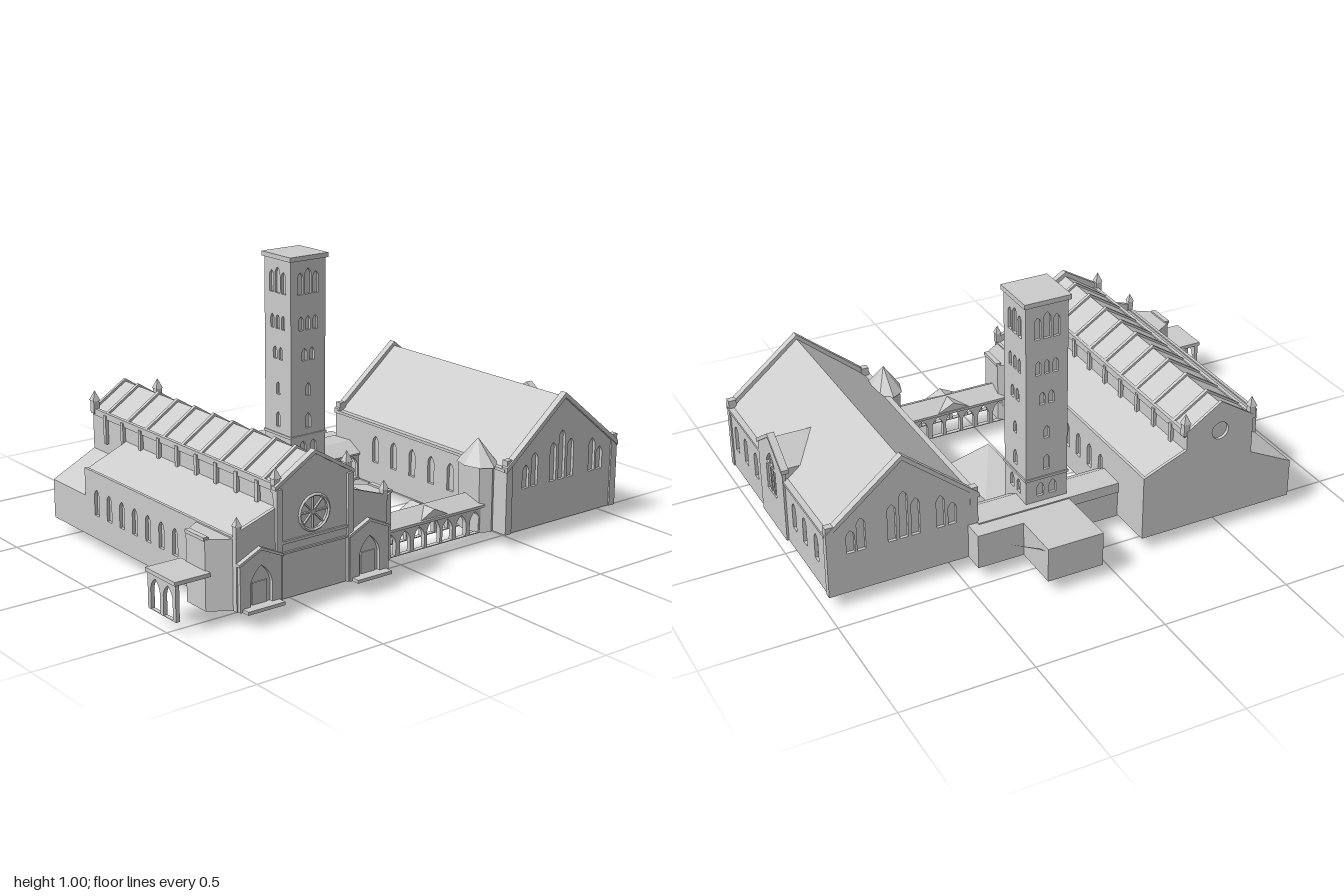
import * as THREE from 'three';

const mat = new THREE.MeshStandardMaterial({ color: 0xcccccc, flatShading: true });
const thin = new THREE.MeshStandardMaterial({ color: 0xcccccc, flatShading: true, side: THREE.DoubleSide });
const G = 0.05; // ground level of the buildings
const FRONT = 0, LEFT = Math.PI / 2, BACK = Math.PI, RIGHT = -Math.PI / 2;

export function createModel() {
  const root = new THREE.Group();

  const add = (name, geo, x = 0, y = 0, z = 0, m = mat) => {
    const mesh = new THREE.Mesh(geo, m);
    mesh.name = name;
    mesh.position.set(x, y, z);
    root.add(mesh);
    return mesh;
  };
  const box = (name, x0, x1, y0, y1, z0, z1) =>
    add(name, new THREE.BoxGeometry(x1 - x0, y1 - y0, z1 - z0), (x0 + x1) / 2, (y0 + y1) / 2, (z0 + z1) / 2);

  // Pointed arch opening: centre, width, sill, apex
  const arch = (x, w, y0, y1) => {
    const p = new THREE.Path(), s = y1 - w * 0.75, h = w / 2;
    p.moveTo(x - h, y0);
    p.lineTo(x + h, y0);
    p.lineTo(x + h, s);
    p.quadraticCurveTo(x + h * 0.85, s + w * 0.45, x, y1);
    p.quadraticCurveTo(x - h * 0.85, s + w * 0.45, x - h, s);
    p.closePath();
    return p;
  };
  const round = (x, y, r) => new THREE.Path().absarc(x, y, r, 0, Math.PI * 2, true);

  // Outline pushed outwards along a facing, from a distance off the origin
  const slab = (name, pts, holes, yaw, from, depth) => {
    const shape = new THREE.Shape(pts.map(p => new THREE.Vector2(...p)));
    shape.holes = holes;
    const geo = new THREE.ExtrudeGeometry(shape, { depth, bevelEnabled: false, curveSegments: 8 });
    const mesh = add(name, geo, Math.sin(yaw) * from, 0, Math.cos(yaw) * from);
    mesh.rotation.y = yaw;
    return mesh;
  };
  const rect = (x0, x1, y0, y1) => [[x0, y0], [x1, y0], [x1, y1], [x0, y1]];
  const gable = (x0, x1, eave, ridge, y0 = G) =>
    [[x0, y0], [x1, y0], [x1, eave], [(x0 + x1) / 2, ridge], [x0, eave]];
  // Thin bar following a polyline, used for copings
  const coping = (name, pts, t, yaw, from, depth) =>
    slab(name, [...pts, ...pts.slice().reverse().map(([x, y]) => [x, y - t])].reverse(), [], yaw, from, depth);
  const pinnacle = (x, y, z, s) => {
    box('pinnacleShaft', x - s, x + s, y - s * 4, y, z - s, z + s);
    const cone = add('pinnacleSpire', new THREE.ConeGeometry(s * 1.8, s * 3.2, 4), x, y + s * 1.6, z);
    cone.rotation.y = Math.PI / 4;
  };

  // ---- Church: nave, aisles and rear lean-to
  const cx = -0.47;
  slab('nave', gable(-0.61, -0.33, 0.44, 0.53), [], FRONT, -0.568, 1.156);
  slab('aisleLeft', [[-0.33, G], [-0.167, G], [-0.167, 0.3], [-0.33, 0.37]], [], FRONT, -0.568, 1.156);
  slab('aisleRight', [[-0.778, G], [-0.61, G], [-0.61, 0.37], [-0.778, 0.3]], [], FRONT, -0.35, 0.938);
  slab('rearLeanTo', [[-0.79, G], [-0.61, G], [-0.61, 0.29], [-0.79, 0.2]], [], FRONT, -0.58, 0.23);

  const aisleWindows = k => Array.from({ length: 8 }, (_, i) => arch(k * (-0.27 + i * 0.085), 0.032, 0.14, 0.24));
  slab('aisleWallRight', rect(-0.35, 0.59, G, 0.305), aisleWindows(1), RIGHT, 0.778, 0.012);
  slab('aisleWallLeft', rect(-0.59, 0.57, G, 0.305), aisleWindows(-1), LEFT, -0.167, 0.012);
  for (const s of [-1, 1]) {
    const x = cx + s * 0.14;
    box('naveParapet', x - 0.007, x + 0.007, 0.425, 0.45, -0.57, 0.59);
    for (let i = 0; i < 9; i++) { // clerestory buttresses
      const z = -0.48 + i * 0.12;
      box('naveButtress', x - 0.012, x + 0.012, 0.33, 0.44, z - 0.008, z + 0.008);
    }
    pinnacle(cx + s * 0.15, 0.475, 0.585, 0.012);
    pinnacle(cx + s * 0.14, 0.48, -0.565, 0.012);
    pinnacle(cx + s * 0.31, 0.345, 0.59, 0.01);
  }
  for (const z of [0.5, 0.385, 0.255, 0.135, 0.02, -0.1, -0.215, -0.34, -0.48])
    coping('roofRib', [[-0.615, 0.446], [cx, 0.54], [-0.325, 0.446]], 0.02, FRONT, z - 0.007, 0.014);

  // Church west front with rose window and two gabled portals
  slab('facade', [[-0.79, G], [-0.155, G], [-0.155, 0.325], [-0.31, 0.378], [-0.31, 0.45], [cx, 0.545],
    [-0.63, 0.45], [-0.63, 0.378], [-0.79, 0.325]], [round(cx, 0.33, 0.06)], FRONT, 0.585, 0.015);
  coping('facadeCoping', [[-0.635, 0.452], [cx, 0.55], [-0.305, 0.452]], 0.014, FRONT, 0.583, 0.025);
  add('roseRim', new THREE.TorusGeometry(0.062, 0.006, 4, 16), cx, 0.33, 0.601);
  for (let i = 0; i < 4; i++)
    add('roseSpoke', new THREE.BoxGeometry(0.12, 0.005, 0.008), cx, 0.33, 0.592).rotation.z = i * Math.PI / 4;
  box('facadeCourse', -0.62, -0.32, 0.21, 0.217, 0.6, 0.607);
  box('facadeCourse', -0.62, -0.32, 0.246, 0.256, 0.6, 0.607);
  for (const s of [-1, 1]) {
    const x = cx + s * 0.23;
    slab('portal', gable(x - 0.085, x + 0.085, 0.215, 0.255), [arch(x, 0.09, G + 0.002, 0.2)], FRONT, 0.6, 0.014);
    coping('portalCoping', [[x - 0.09, 0.22], [x, 0.262], [x + 0.09, 0.22]], 0.01, FRONT, 0.6, 0.018);
    box('door', x - 0.03, x + 0.03, G, 0.14, 0.6, 0.604);
    box('portalStep', x - 0.075, x + 0.075, G, 0.062, 0.6, 0.645);
    box('facadePier', cx + s * 0.15 - 0.012, cx + s * 0.15 + 0.012, G, 0.44, 0.595, 0.61);

    // Canted bays beside the front
    const inner = s * 0.3, outer = s * 0.395;
    const bay = new THREE.Shape([[inner, -0.58], [s * 0.32, -0.58], [outer, -0.53], [outer, -0.42],
      [s * 0.32, -0.37], [inner, -0.37]].map(p => new THREE.Vector2(...p)));
    const m = add('cantedBay', new THREE.ExtrudeGeometry(bay, { depth: 0.25, bevelEnabled: false }), cx, G, 0);
    m.rotation.x = -Math.PI / 2;
    const bx = cx + s * 0.39;
    box('bayCornice', bx - 0.01, bx + 0.01, 0.295, 0.307, 0.42, 0.53);
  }

  // Church rear gable
  slab('rearGable', [[-0.61, G], [-0.155, G], [-0.155, 0.305], [-0.33, 0.375], [-0.33, 0.45], [cx, 0.54], [-0.61, 0.45]]
    .map(([x, y]) => [-x, y]).reverse(), [round(-cx, 0.42, 0.035)], BACK, 0.568, 0.012);

  // Side porch
  box('porchRoof', -1, -0.86, 0.178, 0.192, 0.38, 0.555);
  slab('porchArcade', rect(0.385, 0.55, G, 0.18), [0.43, 0.505].map(z => arch(z, 0.055, G + 0.002, 0.165)), RIGHT, 0.98, 0.015);

  // ---- Hall with gable ends and side gable
  const hx = 0.695;
  slab('hallBody', gable(0.422, 0.968, 0.3, 0.53), [], FRONT, -0.378, 0.966);
  const frontLights = [[-0.185, 0.3], [-0.14, 0.34], [-0.045, 0.36], [0, 0.4], [0.045, 0.36], [0.16, 0.34], [0.2, 0.3]];
  slab('hallFrontGable', gable(0.41, 0.98, 0.31, 0.54),
    frontLights.map(([x, top]) => arch(hx + x, 0.032, 0.21, top)), FRONT, 0.588, 0.012);
  slab('hallBackGable', gable(-0.98, -0.41, 0.31, 0.54),
    frontLights.map(([x, top]) => arch(-hx - x, 0.032, 0.21, top)), BACK, 0.378, 0.012);
  for (const [yaw, from, k] of [[FRONT, 0.585, 1], [BACK, 0.367, -1]])
    coping('hallCoping', [[hx - 0.29, 0.31], [hx, 0.547], [hx + 0.29, 0.31]].map(([x, y]) => [k * x, y])
      .sort((a, b) => a[0] - b[0]), 0.02, yaw, from, 0.027);
  slab('hallWallLeft', rect(-0.59, 0.38, G, 0.3),
    [0.53, 0.43, 0.32, -0.07, -0.17, -0.28].map(z => arch(-z, 0.035, 0.14, 0.25)), LEFT, 0.968, 0.012);
  slab('hallWallRight', rect(-0.38, 0.59, G, 0.3),
    [0.3, 0.19, 0.08, -0.03, -0.14].map(z => arch(z, 0.035, 0.14, 0.25)), RIGHT, -0.422, 0.012);
  box('hallEave', 0.955, 0.987, 0.292, 0.303, -0.38, 0.6);
  box('hallEave', 0.403, 0.435, 0.292, 0.303, -0.38, 0.6);
  for (const x of [0.425, 0.97]) for (const z of [-0.378, 0.593])
    box('hallCornerPier', x - 0.015, x + 0.015, G, 0.335, z - 0.013, z + 0.013);
  slab('sideGableBody', gable(-0.235, -0.015, 0.345, 0.42), [], LEFT, 0.75, 0.226);
  slab('sideGableFace', gable(-0.25, -0.005, 0.345, 0.43), [arch(-0.128, 0.09, 0.185, 0.355)], LEFT, 0.976, 0.012);
  coping('sideGableCoping', [[-0.257, 0.35], [-0.128, 0.438], [0.002, 0.35]], 0.016, LEFT, 0.965, 0.028);
  for (const z of [0.113, 0.143]) box('sideGableMullion', 0.974, 0.984, 0.185, 0.32, z - 0.004, z + 0.004);

  // Octagonal stair turret
  add('turret', new THREE.CylinderGeometry(0.06, 0.06, 0.25, 8), 0.395, G + 0.125, 0.465).scale.z = 1.35;
  add('turretRoof', new THREE.ConeGeometry(0.066, 0.095, 8), 0.395, 0.347, 0.465).scale.z = 1.38;

  // ---- Front cloister walk
  const cloisterArches = () => Array.from({ length: 7 }, (_, i) =>
    i === 3 ? arch(0.13, 0.062, G + 0.003, 0.155) : arch(0.13 + (i - 3) * 0.067, 0.048, G + 0.003, 0.138));
  const cloisterWall = [[-0.11, G], [0.37, G], [0.37, 0.155], [0.2, 0.155], [0.13, 0.188], [0.06, 0.155], [-0.11, 0.155]];
  slab('cloisterFront', cloisterWall, cloisterArches(), FRONT, 0.508, 0.018);
  slab('cloisterBack', cloisterWall, cloisterArches(), FRONT, 0.408, 0.018);
  slab('cloisterRoof', gable(-0.535, -0.398, 0.158, 0.195, 0.148), [], LEFT, -0.11, 0.49);
  slab('cloisterGableRoof', gable(0.055, 0.205, 0.155, 0.192, 0.15), [], FRONT, 0.4, 0.13);

  // ---- Rear gallery, tower and service blocks
  slab('galleryFront', rect(-0.16, 0.415, G, 0.16),
    Array.from({ length: 9 }, (_, i) => arch(-0.125 + i * 0.0635, 0.045, G + 0.003, 0.14)), FRONT, -0.262, 0.016);
  slab('galleryBack', rect(-0.16, 0.415, G, 0.16), [], FRONT, -0.4, 0.016);
  slab('galleryRoof', [[0.235, 0.15], [0.405, 0.15], [0.405, 0.19], [0.3, 0.195], [0.235, 0.157]], [], LEFT, -0.16, 0.575);
  box('galleryFloor', -0.16, 0.415, 0.045, G + 0.005, -0.4, -0.24);

  const tx = 0.13, tz = -0.295, tw = 0.083;
  box('towerCore', tx - 0.073, tx + 0.073, G, 0.985, tz - 0.073, tz + 0.073);
  const towerTiers = c => [
    arch(c - 0.037, 0.026, 0.85, 0.935), arch(c, 0.03, 0.85, 0.95), arch(c + 0.037, 0.026, 0.85, 0.935),
    ...[-0.034, 0, 0.034].map(d => arch(c + d, 0.021, 0.71, 0.765)),
    ...[-0.018, 0.018].map(d => arch(c + d, 0.023, 0.59, 0.64)),
    arch(c, 0.022, 0.45, 0.5), arch(c, 0.025, 0.32, 0.38),
    ...[-0.025, 0.025].map(d => arch(c + d, 0.028, 0.215, 0.27)),
  ];
  for (const [yaw, c, d] of [[FRONT, tx, tz], [LEFT, -tz, tx], [BACK, -tx, -tz], [RIGHT, tz, -tx]])
    slab('towerWall', rect(c - tw, c + tw, G, 0.985), towerTiers(c), yaw, d + 0.073, 0.01);
  box('towerBand', tx - 0.087, tx + 0.087, 0.285, 0.295, tz - 0.087, tz + 0.087);
  box('towerCap', tx - 0.091, tx + 0.091, 0.982, 1, tz - 0.091, tz + 0.091);

  box('serviceBlock', 0.05, 0.27, G, 0.185, -0.655, -0.385);
  box('serviceWing', 0.27, 0.45, G, 0.185, -0.47, -0.385);
  const tri = pts => new THREE.BufferGeometry().setAttribute('position', new THREE.Float32BufferAttribute(pts, 3));
  const flap = tri([0.27, 0.165, -0.63, 0.27, 0.15, -0.59, 0.35, 0.15, -0.52]);
  flap.computeVertexNormals();
  add('serviceCanopy', flap, 0, 0, 0, thin);

  // ---- Sunken courtyard slab with one corner of its top dropped
  const court = new THREE.BoxGeometry(0.19, 0.05, 0.36);
  const p = court.attributes.position;
  for (let i = 0; i < p.count; i++)
    if (p.getX(i) > 0 && p.getZ(i) > 0 && p.getY(i) > 0) p.setY(i, -0.024);
  court.computeVertexNormals();
  add('courtyardSlab', court, 0.138, 0.025, 0.09, thin);

  return root;
}
